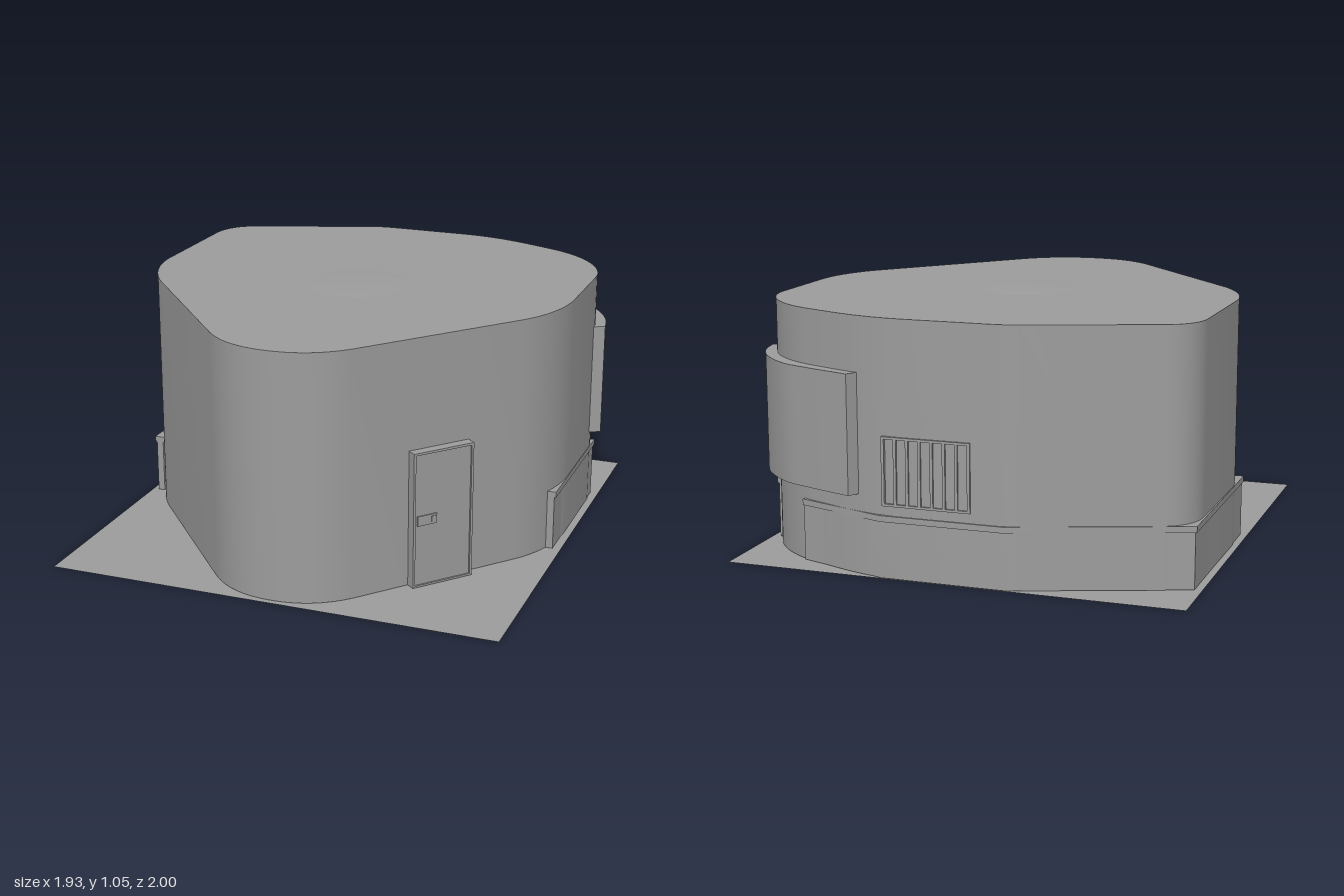
import * as THREE from 'three';
import { toCreasedNormals } from 'three/addons/utils/BufferGeometryUtils.js';

const material = new THREE.MeshStandardMaterial({ color: 0x9d9d9d });
const doubleSided = new THREE.MeshStandardMaterial({ color: 0x9d9d9d, side: THREE.DoubleSide });

function mesh(name, geometry, parent, mat = material) {
  const m = new THREE.Mesh(geometry, mat);
  m.name = name;
  parent.add(m);
  return m;
}

function box(name, parent, w, h, d, x, y, z) {
  return mesh(name, new THREE.BoxGeometry(w, h, d).translate(x, y, z), parent);
}

// Stand a plan drawn in (x, z) up between two heights
function standPlan(shape, y0, y1) {
  const g = new THREE.ExtrudeGeometry(shape, { depth: y1 - y0, bevelEnabled: false, curveSegments: 16 });
  g.rotateX(Math.PI / 2).translate(0, y1, 0);
  return toCreasedNormals(g, 0.5);
}

// Plan of a wall of constant width along a polyline, with mitred corners
function wallPlan(points, width) {
  const pts = points.map(([x, z]) => new THREE.Vector2(x, z));
  const normal = (a, b) => new THREE.Vector2(a.y - b.y, b.x - a.x).normalize();
  const offsets = pts.map((p, i) => {
    const before = i > 0 ? normal(pts[i - 1], p) : normal(p, pts[1]);
    const after = i < pts.length - 1 ? normal(p, pts[i + 1]) : before;
    const mitre = before.clone().add(after).normalize();
    return mitre.multiplyScalar(width / 2 / mitre.dot(before));
  });
  const a = pts.map((p, i) => p.clone().add(offsets[i]));
  const b = pts.map((p, i) => p.clone().sub(offsets[i]));
  return new THREE.Shape([...a, ...b.reverse()]);
}

function smoothLine(points) {
  return new THREE.SplineCurve(points.map(([x, z]) => new THREE.Vector2(x, z))).getPoints(28);
}

// Rounded three-cornered plan of the building
function buildingPlan() {
  const s = new THREE.Shape();
  s.moveTo(0, 0.98);
  s.bezierCurveTo(0.11, 0.98, 0.21, 0.945, 0.3, 0.845);
  s.lineTo(0.8, 0.25);
  s.bezierCurveTo(0.88, 0.15, 0.92, 0.02, 0.92, -0.1);
  s.lineTo(0.92, -0.49);
  s.bezierCurveTo(0.905, -0.66, 0.77, -0.81, 0.6, -0.873);
  s.bezierCurveTo(0.45, -0.935, 0.33, -0.987, 0.15, -0.987);
  s.lineTo(-0.18, -0.987);
  s.bezierCurveTo(-0.23, -0.987, -0.26, -0.983, -0.3, -0.968);
  s.lineTo(-0.82, -0.782);
  s.bezierCurveTo(-0.9, -0.75, -0.94, -0.68, -0.94, -0.6);
  s.lineTo(-0.945, -0.1);
  s.bezierCurveTo(-0.94, 0.02, -0.89, 0.15, -0.81, 0.25);
  s.lineTo(-0.3, 0.845);
  s.bezierCurveTo(-0.21, 0.945, -0.11, 0.98, 0, 0.98);
  return s;
}

export function createModel() {
  const model = new THREE.Group();
  model.name = 'building';

  // Ground sheet
  const ground = new THREE.PlaneGeometry(1.92, 1.985).rotateX(-Math.PI / 2).translate(-0.01, 0, 0.008);
  mesh('ground', ground, model, doubleSided);

  // Main body with a very shallow roof dome
  mesh('body', standPlan(buildingPlan(), 0.003, 1.046), model);
  const domeProfile = [];
  for (let i = 0; i <= 8; i++) {
    const t = 1 - i / 8;
    domeProfile.push(new THREE.Vector2(0.225 * t, 0.006 * (1 - t * t)));
  }
  const dome = new THREE.LatheGeometry(domeProfile, 40).translate(-0.01, 1.046, -0.025);
  mesh('roofDome', dome, model);

  // Curved panel wrapped round the back corner
  const outer = smoothLine([[0.4, -1], [0.6, -0.93], [0.74, -0.867], [0.87, -0.74], [0.94, -0.61], [0.965, -0.5]]);
  const inner = smoothLine([[0.37, -0.95], [0.58, -0.87], [0.7, -0.81], [0.81, -0.7], [0.88, -0.58], [0.915, -0.47]]);
  mesh('curvedPanel', standPlan(new THREE.Shape([...outer, ...inner.reverse()]), 0.33, 0.82), model);

  // Low walls with wider copings, hugging the body
  const lowWalls = {
    rightLowWall: [[0.901, 0.095], [0.901, -0.575]],
    backLowWall: [[0.66, -0.84], [0.27, -0.971], [-0.24, -0.971], [-0.926, -0.725], [-0.926, 0.09]],
  };
  for (const [name, path] of Object.entries(lowWalls)) {
    mesh(name, standPlan(wallPlan(path, 0.03), 0.003, 0.235), model);
    mesh(name + 'Coping', standPlan(wallPlan(path, 0.044), 0.235, 0.26), model);
  }

  // Door set on the slanting front wall
  const door = new THREE.Group();
  door.name = 'door';
  door.position.set(0.55, 0, 0.545);
  door.rotation.y = Math.atan2(0.21, 0.18);
  model.add(door);
  box('doorLeaf', door, 0.257, 0.57, 0.056, 0, 0.288, 0.009);
  for (const side of [-1, 1]) box('doorJamb', door, 0.01, 0.58, 0.066, side * 0.134, 0.293, 0.011);
  box('doorLintel', door, 0.277, 0.01, 0.066, 0, 0.578, 0.011);
  box('doorSill', door, 0.277, 0.008, 0.066, 0, 0.007, 0.011);
  box('handlePlate', door, 0.09, 0.042, 0.01, -0.073, 0.29, 0.037);
  box('handleGrip', door, 0.02, 0.026, 0.01, -0.045, 0.29, 0.04);

  // Barred vent in the back wall
  const vent = new THREE.Group();
  vent.name = 'vent';
  vent.position.set(0.075, 0.44, -0.987);
  model.add(vent);
  for (const side of [-1, 1]) box('ventRail', vent, 0.37, 0.01, 0.016, 0, side * 0.135, 0);
  for (let i = 0; i < 8; i++) {
    box('ventBar', vent, 0.012, 0.26, 0.016, -0.179 + i * 0.358 / 7, 0, 0);
  }
  return model;
}
